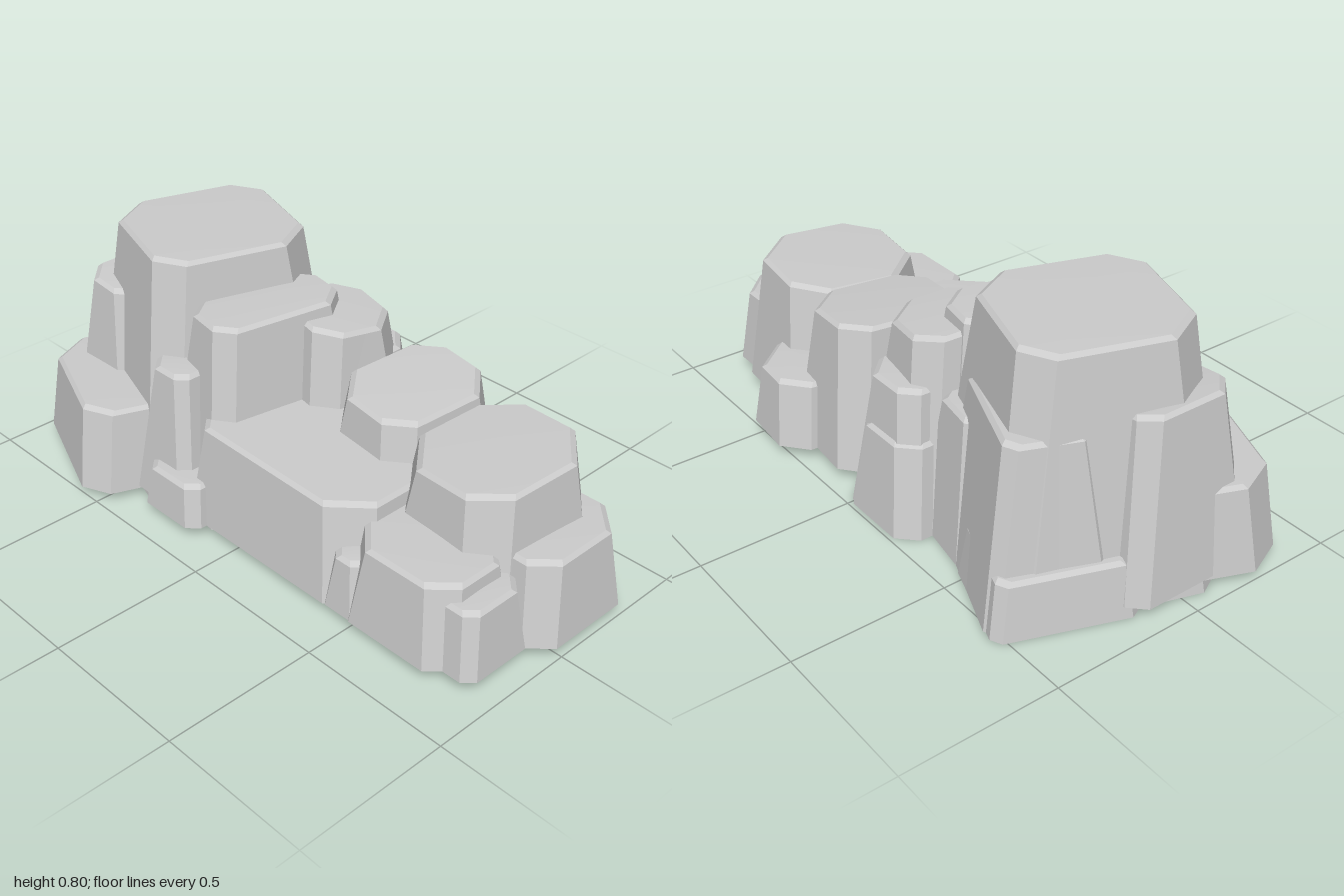
import * as THREE from 'three';
import { toCreasedNormals } from 'three/addons/utils/BufferGeometryUtils.js';

const material = new THREE.MeshStandardMaterial({ color: 0xcccccc, side: THREE.DoubleSide });
const BEVEL = 0.012;
const SLOPE = 0.12;

// Turned rectangle with cut corners; grow widens it on every side.
function footprint(w, d, turn, cut, grow) {
  const pts = [];
  const angle = THREE.MathUtils.degToRad(turn);
  [[1, 1], [-1, 1], [-1, -1], [1, -1]].forEach(([sx, sz], i) => {
    const c = cut * Math.min(w, d) * (i % 2 ? 1.2 : 0.9);
    const x = sx * (w / 2 + grow);
    const z = sz * (d / 2 + grow);
    const onSide = new THREE.Vector2(x, z - sz * c);
    const onEnd = new THREE.Vector2(x - sx * c, z);
    pts.push(...(i % 2 ? [onEnd, onSide] : [onSide, onEnd]));
  });
  return pts.map((p) => p.rotateAround(new THREE.Vector2(), angle));
}

// Tapered, open-bottomed boulder: sloping sides, small bevel, gently domed cap.
function rock(name, x, z, w, d, h, { turn = 0, cut = 0.25, base = 0.04, tiltX = 0, tiltZ = 0 } = {}) {
  const topY = (p) => h + tiltX * p.x + tiltZ * p.y;
  const ring = (grow, y) => footprint(w, d, turn, cut, grow).map((p) => [p.x, y(p), p.y]);
  const rings = [
    ring(SLOPE * (h - base), () => base),
    ring(0, (p) => topY(p) - BEVEL),
    ring(-BEVEL, topY),
  ];
  const peak = [0, h + 0.005, 0];
  const pos = [];
  rings[0].forEach((_, i) => {
    const j = (i + 1) % rings[0].length;
    for (let r = 0; r < 2; r++) {
      const [low, high] = [rings[r], rings[r + 1]];
      pos.push(...low[i], ...high[i], ...low[j], ...low[j], ...high[i], ...high[j]);
    }
    pos.push(...rings[2][i], ...peak, ...rings[2][j]);
  });
  const geo = new THREE.BufferGeometry();
  geo.setAttribute('position', new THREE.Float32BufferAttribute(pos, 3));
  const mesh = new THREE.Mesh(toCreasedNormals(geo, 0.35), material);
  mesh.name = name;
  mesh.position.set(x, 0, z);
  return mesh;
}

export function createModel() {
  const group = new THREE.Group();
  group.name = 'rockOutcrop';

  // Tall end with its ledges
  group.add(
    rock('mainTower', -0.55, -0.06, 0.5, 0.52, 0.795, { turn: 18, cut: 0.18, base: 0 }),
    rock('towerBackLedge', -0.56, -0.25, 0.42, 0.26, 0.56, { turn: 22, cut: 0.15, base: 0 }),
    rock('towerSideLedge', -0.34, -0.22, 0.26, 0.24, 0.45, { turn: 10, base: 0 }),
    rock('towerBackFoot', -0.68, -0.27, 0.32, 0.4, 0.18, { turn: 20, cut: 0.1, base: 0 }),
    rock('leftShoulder', -0.775, 0.05, 0.22, 0.34, 0.59, { tiltX: -0.1 }),
    rock('leftFrontBase', -0.675, 0.2, 0.52, 0.42, 0.31, { turn: 22, cut: 0.2, base: 0.03 }),
    rock('slimColumn', -0.335, 0.25, 0.17, 0.15, 0.49),
    rock('lowFrontStep', -0.25, 0.32, 0.24, 0.16, 0.18),
  );

  // Middle steps
  group.add(
    rock('secondTower', -0.22, 0, 0.24, 0.46, 0.66, { turn: 10, base: 0 }),
    rock('backTower', -0.1, -0.19, 0.3, 0.3, 0.61, { turn: 10, base: 0, tiltX: -0.1, tiltZ: 0.08 }),
    rock('backUpperLedge', -0.1, -0.31, 0.24, 0.22, 0.46, { base: 0 }),
    rock('backLowerLedge', -0.11, -0.32, 0.28, 0.26, 0.3, { base: 0 }),
    rock('centralPlatform', 0.09, 0.02, 0.77, 0.6, 0.362, { cut: 0.2, tiltX: -0.025 }),
    rock('middleRock', 0.245, -0.18, 0.33, 0.42, 0.495, { turn: 5, tiltX: -0.07, tiltZ: -0.04 }),
    rock('smallBackStep', 0.43, -0.38, 0.3, 0.24, 0.26, { turn: 5, cut: 0.35 }),
  );

  // Low end
  group.add(
    rock('rightRock', 0.63, -0.11, 0.42, 0.46, 0.475, { turn: 5, tiltX: 0.055, tiltZ: -0.05 }),
    rock('rightEndRock', 0.81, -0.13, 0.31, 0.38, 0.305),
    rock('rightFrontRock', 0.645, 0.17, 0.39, 0.32, 0.3),
    rock('rightCornerStep', 0.835, 0.18, 0.15, 0.23, 0.25),
    rock('smallFrontStep', 0.46, 0.27, 0.12, 0.13, 0.22),
  );
  return group;
}
